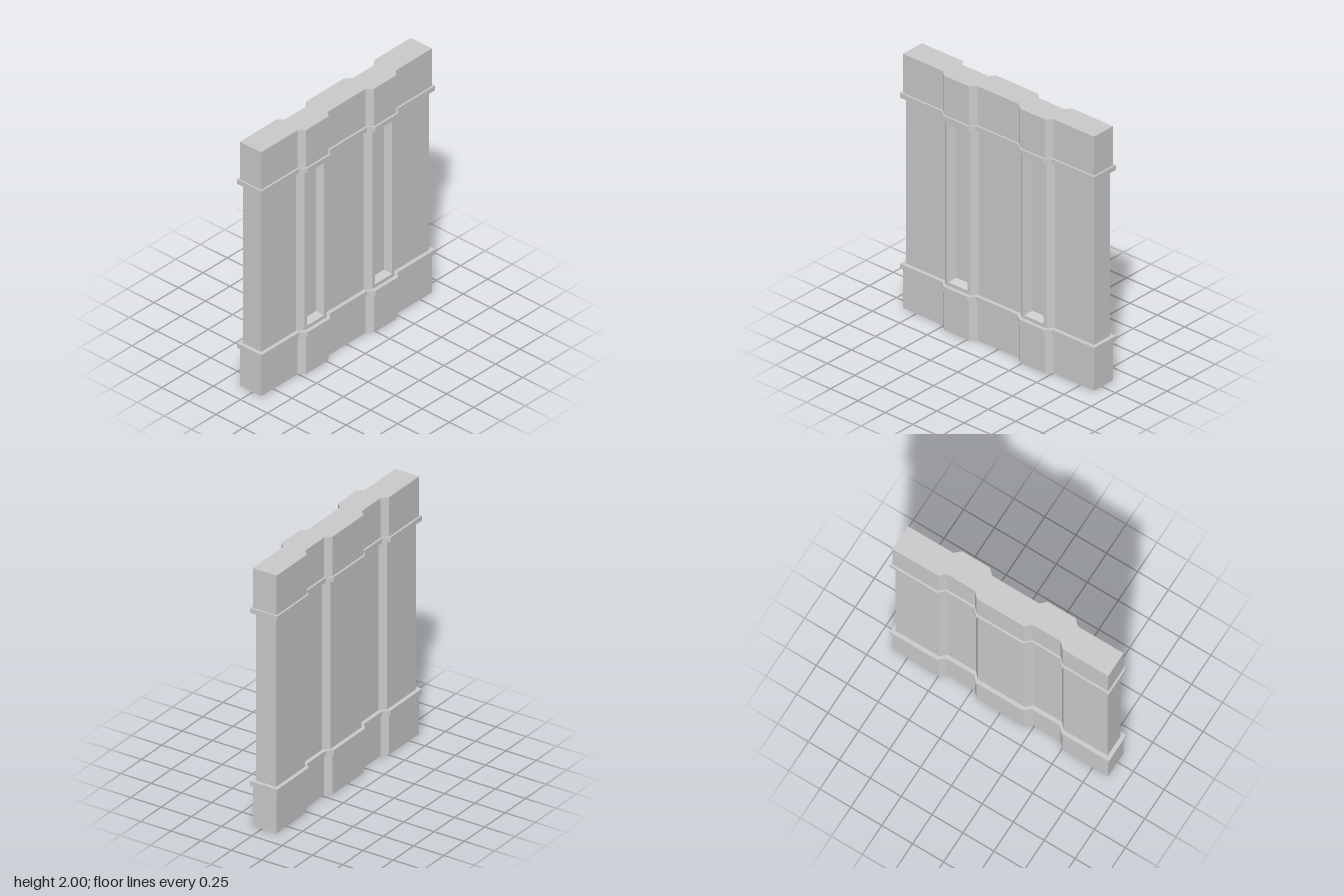
import * as THREE from 'three';

const material = new THREE.MeshStandardMaterial({ color: 0xcccccc, flatShading: true });

const HALF_X = 0.104, HALF_Z = 0.857, STEP = 0.042; // shaft size and pilaster projection
const Z = [0.191, 0.233, 0.461, 0.503];             // pilaster: slope, face, face, slope
const PANEL_DEPTH = 0.05;

// Half of a long side as [z, x] points, running outwards from the middle
function sideProfile(low, high, floor) {
  const points = [[Z[0], low], [Z[1], high]];
  if (floor !== undefined) points.push([Z[1], floor], [Z[2], floor]);
  points.push([Z[2], high], [Z[3], low]);
  return points;
}

// A horizontal layer of the wall: plan outline grown by "grow", extruded from y0 to y1
function layer(name, y0, y1, grow, recessed = false) {
  const outer = HALF_X + grow, inner = outer - STEP, end = HALF_Z + grow;
  const front = sideProfile(inner, outer, recessed ? outer - PANEL_DEPTH : undefined);
  const back = sideProfile(-outer, -inner);
  const mirror = (pts) => pts.map(([z, x]) => [-z, x]).reverse();
  const outline = [
    [-end, inner], ...mirror(front), ...front, [end, inner],
    [end, -outer], ...back.slice().reverse(), ...mirror(back).reverse(), [-end, -outer],
  ];
  const shape = new THREE.Shape(outline.map(([z, x]) => new THREE.Vector2(x, -z)));
  const geometry = new THREE.ExtrudeGeometry(shape, { depth: y1 - y0, bevelEnabled: false });
  geometry.rotateX(-Math.PI / 2).translate(0, y0, 0);
  const mesh = new THREE.Mesh(geometry, material);
  mesh.name = name;
  return mesh;
}

// Pilaster face around a sunken panel: nested rectangles joined by quads
function panelFrame(name, side) {
  const mid = side * (Z[1] + Z[2]) / 2;
  const ring = (x, halfZ, y0, y1) => [
    [x, y0, mid + halfZ], [x, y0, mid - halfZ], [x, y1, mid - halfZ], [x, y1, mid + halfZ],
  ];
  const rings = [
    ring(HALF_X, (Z[2] - Z[1]) / 2, 0.33, 1.67),
    ring(HALF_X, 0.0875, 0.376, 1.626),
    ring(HALF_X - PANEL_DEPTH, 0.06, 0.402, 1.602),
  ];
  const positions = [];
  for (let r = 0; r < rings.length - 1; r++) {
    for (let i = 0; i < 4; i++) {
      const j = (i + 1) % 4;
      const a = rings[r][i], b = rings[r][j], c = rings[r + 1][j], d = rings[r + 1][i];
      positions.push(...a, ...b, ...c, ...a, ...c, ...d);
    }
  }
  const geometry = new THREE.BufferGeometry();
  geometry.setAttribute('position', new THREE.Float32BufferAttribute(positions, 3));
  geometry.computeVertexNormals();
  const mesh = new THREE.Mesh(geometry, material);
  mesh.name = name;
  return mesh;
}

export function createModel() {
  const wall = new THREE.Group();
  wall.name = 'wallSegment';
  wall.add(
    layer('base', 0, 0.312, 0.0155),
    layer('lowerMoulding', 0.312, 0.349, 0.03),
    layer('shaft', 0.349, 1.656, 0, true),
    layer('upperMoulding', 1.656, 1.693, 0.03),
    layer('cap', 1.693, 2, 0.0155),
    panelFrame('frontPanelFrame', 1),
    panelFrame('rearPanelFrame', -1),
  );
  return wall;
}
